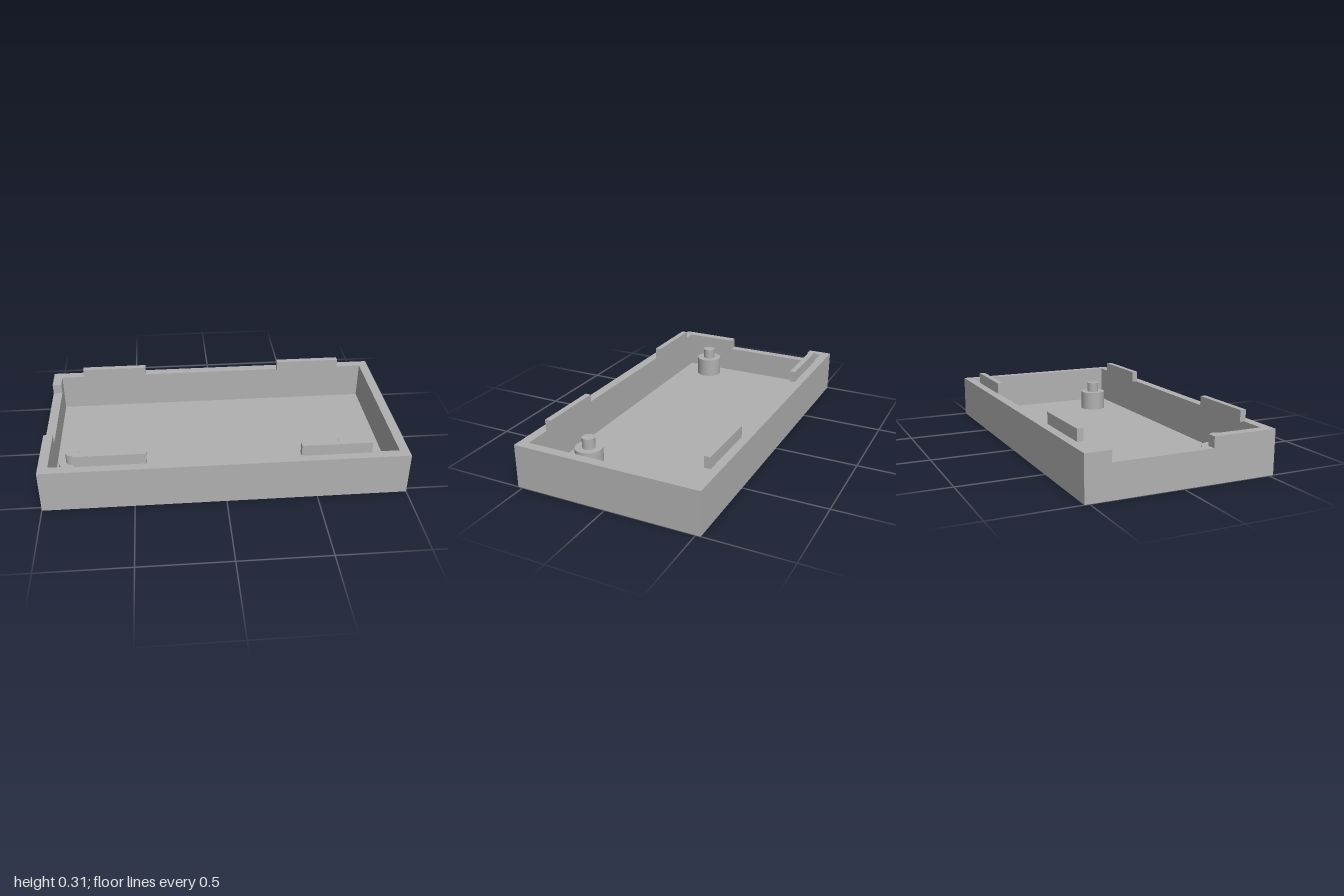
import * as THREE from 'three';

const HX = 1, HZ = 0.527;          // outer half sizes
const IX = 0.947, IZ = 0.473;      // inner half sizes
const FLOOR = 0.03, RIM = 0.245;

const polygon = (points) => new THREE.Shape(points.map(([x, y]) => new THREE.Vector2(x, y)));

export function createModel() {
  const model = new THREE.Group();
  model.name = 'enclosureHalf';
  const grey = new THREE.MeshStandardMaterial({ color: 0xb0b0b0 });
  grey.name = 'plainGrey';

  const add = (name, geometry, x = 0, y = 0, z = 0, parent = model) => {
    const mesh = new THREE.Mesh(geometry, grey);
    mesh.name = name;
    mesh.position.set(x, y, z);
    parent.add(mesh);
    return mesh;
  };

  // Floor plate
  add('floor', new THREE.BoxGeometry(2 * HX, FLOOR, 2 * HZ), 0, FLOOR / 2, 0);

  // Front, back and closed end wall as one U-shaped extrusion
  const uShape = polygon([
    [-HX, -HZ], [HX, -HZ], [HX, HZ], [-HX, HZ],
    [-HX, IZ], [IX, IZ], [IX, -IZ], [-HX, -IZ],
  ]);
  const uWalls = new THREE.ExtrudeGeometry(uShape, { depth: RIM - FLOOR, bevelEnabled: false });
  uWalls.rotateX(-Math.PI / 2);
  add('sideWalls', uWalls, 0, FLOOR, 0);

  // End wall with a shallow notch in its rim, drawn in (z, y)
  const sill = RIM - 0.06;
  const notched = polygon([
    [-IZ, FLOOR], [IZ, FLOOR], [IZ, RIM], [0.165, RIM],
    [0.165, sill], [-0.387, sill], [-0.387, RIM], [-IZ, RIM],
  ]);
  const endWall = new THREE.ExtrudeGeometry(notched, { depth: HX - IX, bevelEnabled: false });
  endWall.rotateY(-Math.PI / 2);
  add('notchedEndWall', endWall, -IX, 0, 0);

  // Four locating tabs standing on the inner edge of the rim
  const tab = new THREE.BoxGeometry(0.386, 0.064, 0.034);
  for (const x of [-0.617, 0.6]) {
    for (const side of [-1, 1]) add('locatingTab', tab, x, RIM + 0.032, side * 0.462);
  }

  // Two stepped mounting posts near the front
  for (const x of [-0.838, 0.688]) {
    const post = new THREE.Group();
    post.name = 'mountingPost';
    post.position.set(x, FLOOR, 0.285);
    add('postBase', new THREE.CylinderGeometry(0.077, 0.077, 0.114, 48), 0, 0.057, 0, post);
    add('postPeg', new THREE.CylinderGeometry(0.036, 0.036, 0.06, 32), 0, 0.144, 0, post);
    model.add(post);
  }

  return model;
}
